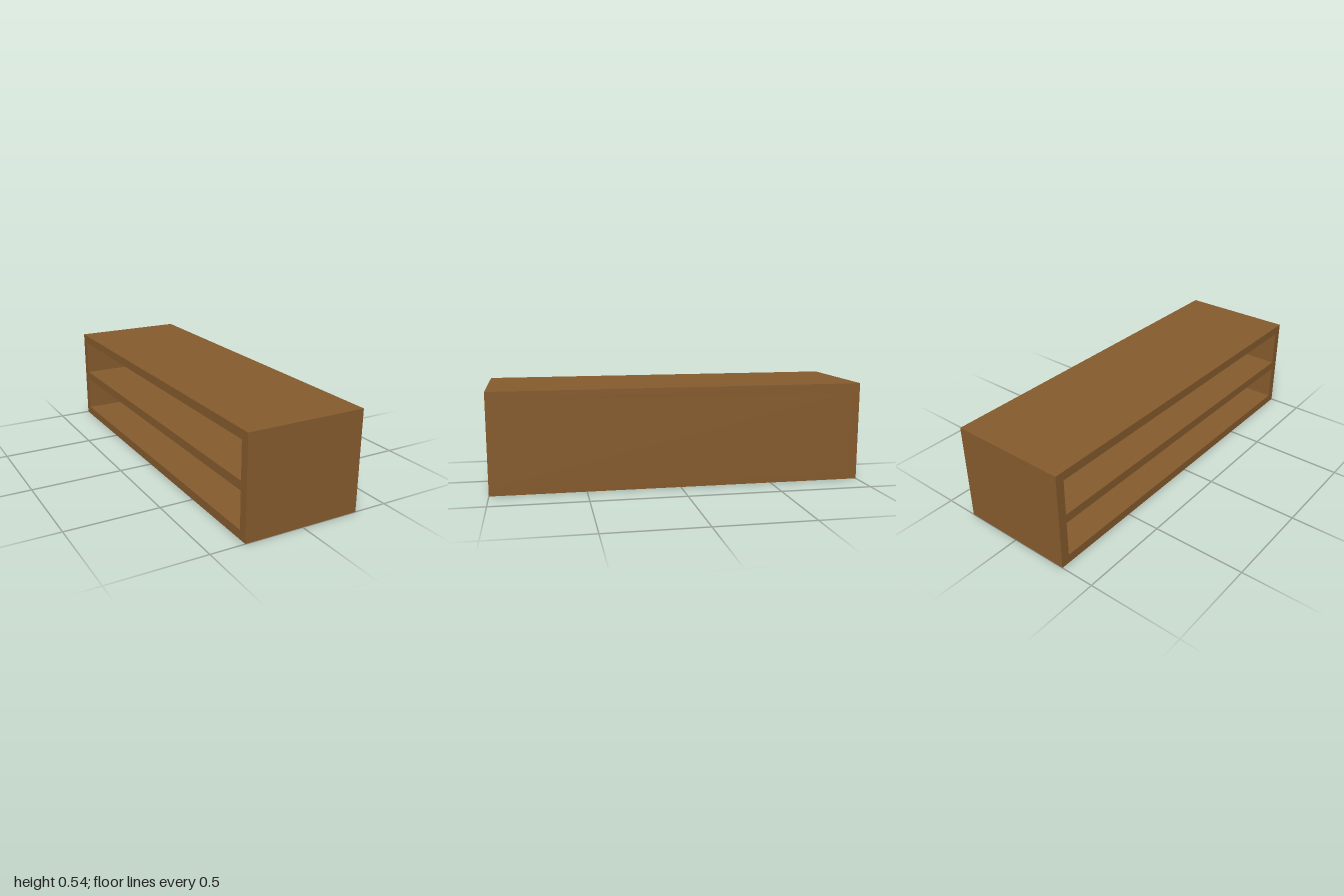
import * as THREE from 'three';

// Long low cabinet: closed on +x, two open shelf bays facing -x
const W = 0.634, H = 0.537, L = 2, T = 0.048;

export function createModel() {
  const group = new THREE.Group();
  group.name = 'openShelfUnit';
  const wood = new THREE.MeshStandardMaterial({ color: 0x865b2d });
  wood.name = 'brown wood';

  const panel = (name, w, h, d, x, y, z) => {
    const mesh = new THREE.Mesh(new THREE.BoxGeometry(w, h, d), wood);
    mesh.name = name;
    mesh.position.set(x, y, z);
    group.add(mesh);
  };

  // Top and bottom boards
  panel('bottomBoard', W, T, L, 0, T / 2, 0);
  panel('topBoard', W, T, L, 0, H - T / 2, 0);

  // End walls
  const innerH = H - 2 * T, innerL = L - 2 * T;
  for (const [name, s] of [['frontEndWall', 1], ['backEndWall', -1]]) {
    panel(name, W, innerH, T, 0, H / 2, s * (L - T) / 2);
  }

  // Closed long side and the middle shelf
  panel('closedSide', T, innerH, innerL, (W - T) / 2, H / 2, 0);
  panel('middleShelf', W - T, T, innerL, -T / 2, H / 2, 0);

  return group;
}
